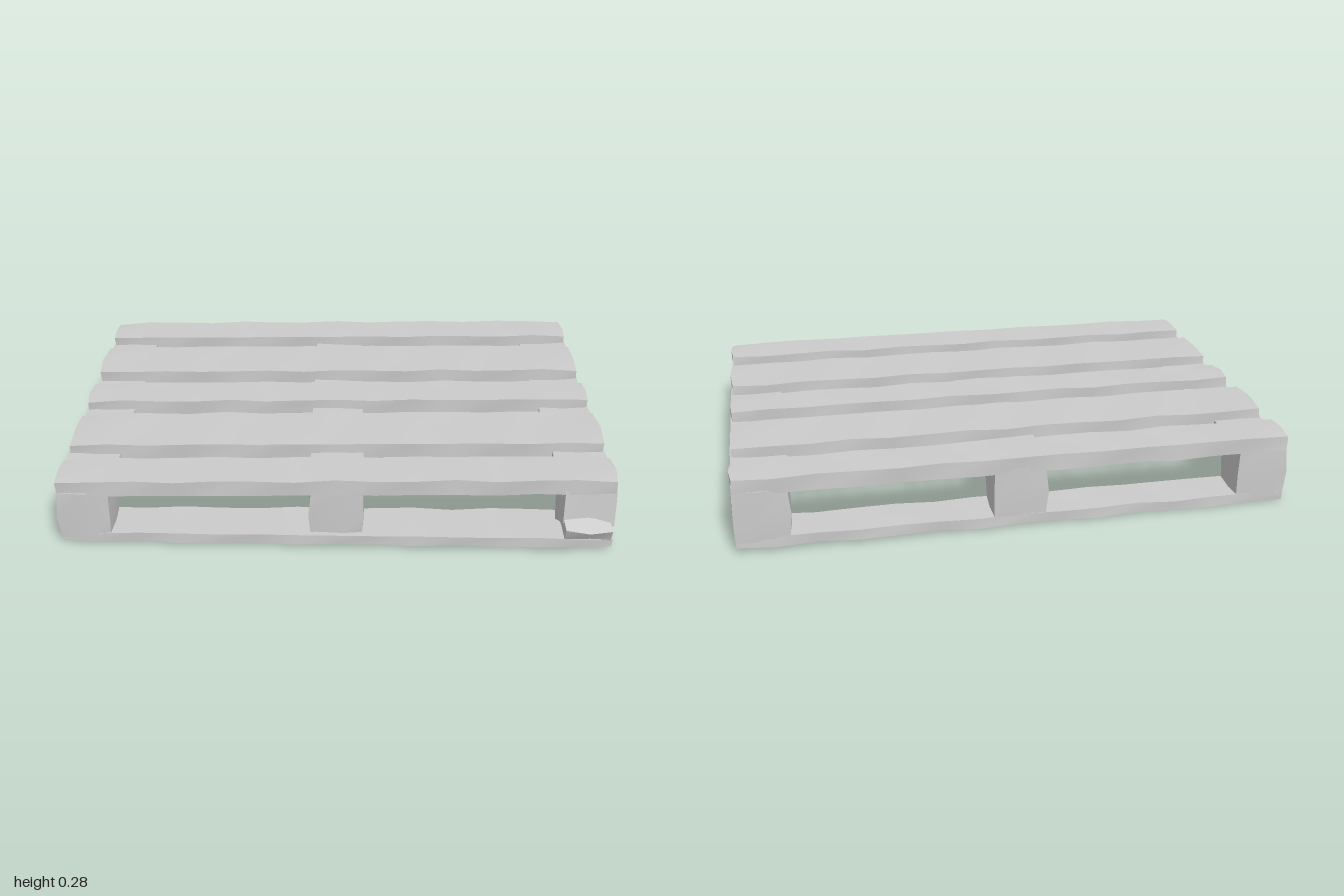
import * as THREE from 'three';
import { mergeVertices, toCreasedNormals } from 'three/addons/utils/BufferGeometryUtils.js';

const material = new THREE.MeshStandardMaterial({ color: 0xcccccc });

// Slightly uneven, worn timber between two corners; bend(v) moves each vertex.
function timber(name, [x0, x1], [y0, y1], [z0, z1], bend = () => {}, wear = 0.004) {
  const size = [x1 - x0, y1 - y0, z1 - z0];
  const mid = [(x0 + x1) / 2, (y0 + y1) / 2, (z0 + z1) / 2];
  const segs = size.map(s => Math.max(1, Math.min(14, Math.round(s / 0.1))));
  let geo = new THREE.BoxGeometry(...size, ...segs);
  geo.deleteAttribute('uv');
  geo.deleteAttribute('normal');
  geo = mergeVertices(geo);
  const pos = geo.attributes.position;
  const v = new THREE.Vector3();
  for (let i = 0; i < pos.count; i++) {
    v.fromBufferAttribute(pos, i);
    // pull corners in a little
    const ends = [0, 1, 2].filter(k => Math.abs(Math.abs(v.getComponent(k)) - size[k] / 2) < 1e-4).length;
    if (ends === 3) v.multiply(new THREE.Vector3(1 - 0.012 / size[0], 1 - 0.008 / size[1], 1 - 0.01 / size[2]));
    v.add(new THREE.Vector3(...mid));
    const wx = v.x * 17, wy = v.y * 41, wz = v.z * 29;
    v.x += wear * 0.6 * Math.sin(wy + wz * 1.3);
    v.y += wear * 0.7 * Math.sin(wx + wz * 2.1);
    v.z += wear * Math.sin(wx * 1.7 + wy);
    bend(v);
    pos.setXYZ(i, v.x, v.y, v.z);
  }
  const mesh = new THREE.Mesh(toCreasedNormals(geo, 0.7), material);
  mesh.name = name;
  return mesh;
}

export function createModel() {
  const group = new THREE.Group();
  group.name = 'pallet';

  // The whole frame rises and skews slightly towards +x
  const lean = v => {
    v.y += 0.008 * v.x;
    v.z -= 0.005 * v.x;
  };

  // Five deck boards, wide and narrow in turn
  const boards = [[-0.683, -0.528], [-0.435, -0.203], [-0.107, 0.05], [0.147, 0.385], [0.475, 0.637]];
  boards.forEach(z => group.add(timber('deckBoard', [-0.99, 0.99], [0.212, 0.27], z, lean)));

  // Three stringers crossing under the deck
  const columns = [[-0.99, -0.8], [-0.095, 0.1], [0.795, 0.99]];
  columns.forEach(x => group.add(timber('stringer', x, [0.182, 0.233], [-0.66, 0.62], v => {
    lean(v);
    v.y -= 0.012 * Math.exp(-(((v.z + 0.16) / 0.06) ** 2));
  })));

  // Three rows of blocks; the front +x block is broken
  const rows = [[-0.683, -0.528], [-0.108, 0.055], [0.475, 0.637]];
  rows.forEach((z, row) => columns.forEach((x, col) => {
    const broken = row === 2 && col === 2;
    group.add(timber(broken ? 'brokenBlock' : 'block', x, [broken ? 0.085 : 0.03, 0.225], z, v => {
      lean(v);
      if (broken && v.y < 0.13) {
        v.y += 0.03 * Math.sin(v.z * 40);
        v.z += 0.015;
      }
    }, broken ? 0.009 : 0.004));
  }));

  // Bottom runners; the front one has swung outwards at its +x end
  rows.forEach((z, row) => group.add(timber('runner', [-0.99, 0.99], [0.01, 0.048], z, v => {
    if (row === 2) {
      v.y += 0.004 + 0.004 * v.x;
      v.z += 0.016 * (v.x + 1) * (v.z > 0.55 ? 1.1 : 0.3);
    } else lean(v);
  })));

  // Splintered pieces at the broken corner
  const splinter = (name, size, position, rotation) => {
    const piece = timber(name, ...size.map(s => [-s / 2, s / 2]), undefined, 0.006);
    piece.position.set(...position);
    piece.rotation.set(...rotation);
    group.add(piece);
  };
  splinter('splinterFlap', [0.18, 0.055, 0.11], [0.89, 0.097, 0.632], [0.45, 0.06, -0.05]);
  splinter('splinterCore', [0.15, 0.06, 0.1], [0.885, 0.1, 0.56], [-0.5, 0.1, 0.08]);
  splinter('splinterChip', [0.17, 0.018, 0.1], [0.89, 0.052, 0.54], [0.05, 0.04, 0.03]);

  return group;
}
